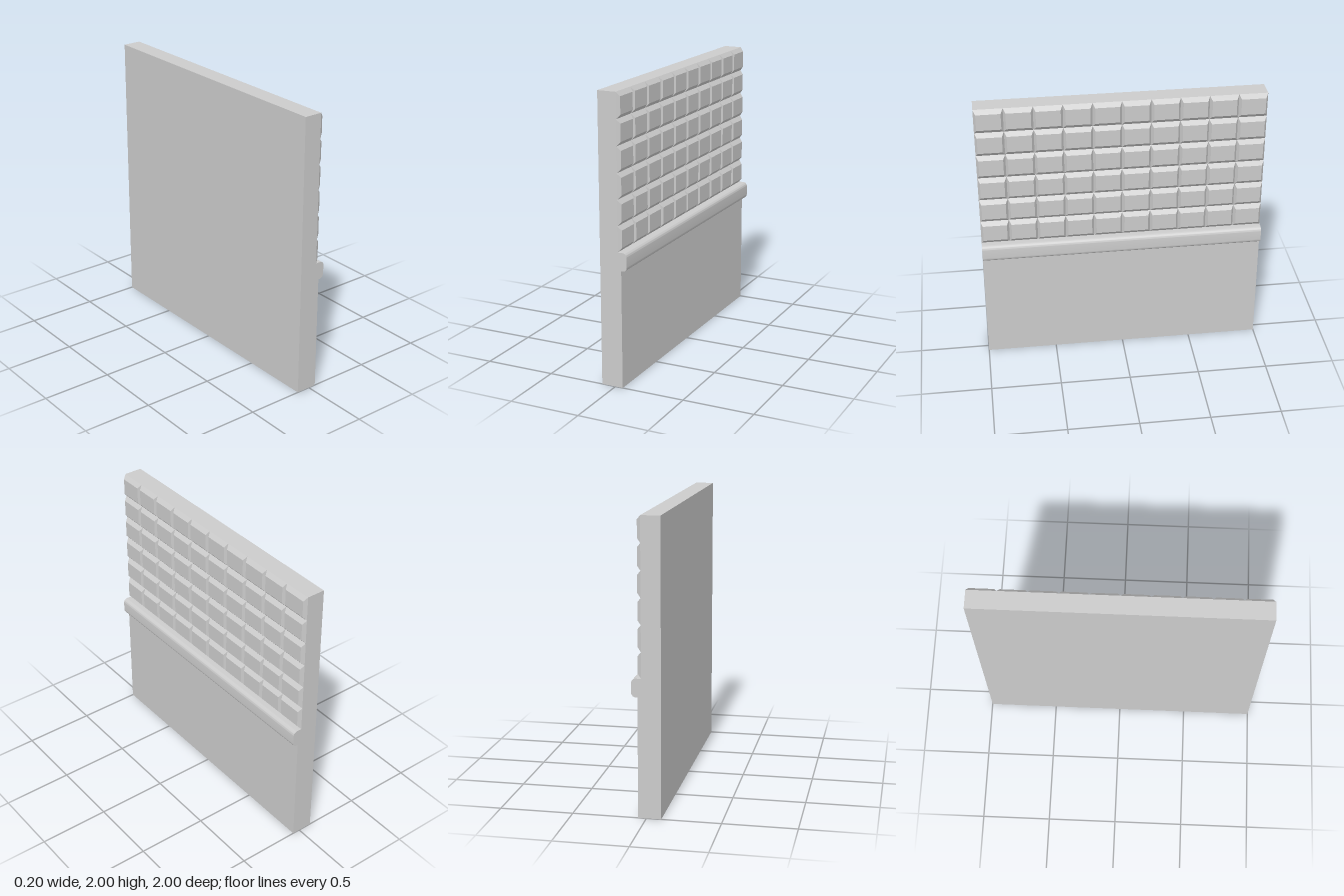
import * as THREE from 'three';
import { toCreasedNormals } from 'three/addons/utils/BufferGeometryUtils.js';

const LENGTH = 2;
const BACK = -0.1, GROOVE = 0.03, FACE = 0.055, RAIL_FACE = 0.096;
const RAIL_LOW = 0.82, RAIL_TOP = 0.945, TOP = 2;
const ROWS = 6, COLUMNS = 10;

const material = new THREE.MeshStandardMaterial({ color: 0xcccccc });

// Extrudes an x-y profile along the whole length of the wall
function extrudeAlongWall(shape, name) {
  const geometry = new THREE.ExtrudeGeometry(shape, { depth: LENGTH, bevelEnabled: false, curveSegments: 8 });
  geometry.translate(0, 0, -LENGTH / 2);
  const mesh = new THREE.Mesh(toCreasedNormals(geometry, 0.6), material);
  mesh.name = name;
  return mesh;
}

// Block whose outer (+x) face is drawn in to form four sloping sides
function tileGeometry(height, width, insetY, insetZ) {
  const depth = FACE - GROOVE;
  const geometry = new THREE.BoxGeometry(depth, height, width);
  const p = geometry.attributes.position;
  for (let i = 0; i < p.count; i++) {
    if (p.getX(i) < 0) continue;
    p.setY(i, p.getY(i) - Math.sign(p.getY(i)) * insetY);
    p.setZ(i, p.getZ(i) - Math.sign(p.getZ(i)) * insetZ);
  }
  geometry.computeVertexNormals();
  geometry.translate(depth / 2, 0, 0);
  return geometry;
}

export function createModel() {
  const model = new THREE.Group();
  model.name = 'panelledWall';

  // Wall: thicker below the rail, thinner behind the tiles
  const wall = new THREE.Shape([
    [BACK, 0], [FACE, 0], [FACE, 0.88], [GROOVE, 0.88], [GROOVE, TOP], [BACK, TOP],
  ].map(([x, y]) => new THREE.Vector2(x, y)));
  model.add(extrudeAlongWall(wall, 'wall'));

  // Rail with rounded outer edges
  const r = 0.03;
  const rail = new THREE.Shape();
  rail.moveTo(GROOVE, RAIL_LOW);
  rail.lineTo(RAIL_FACE - r, RAIL_LOW);
  rail.absarc(RAIL_FACE - r, RAIL_LOW + r, r, -Math.PI / 2, 0, false);
  rail.absarc(RAIL_FACE - r, RAIL_TOP - r, r, 0, Math.PI / 2, false);
  rail.lineTo(GROOVE, RAIL_TOP);
  rail.closePath();
  model.add(extrudeAlongWall(rail, 'rail'));

  // Grid of bevelled tiles above the rail
  const height = (TOP - RAIL_TOP) / ROWS;
  const width = LENGTH / COLUMNS;
  const tile = tileGeometry(height, width, 0.029, 0.016);
  const tiles = new THREE.Group();
  tiles.name = 'tiles';
  for (let row = 0; row < ROWS; row++) {
    for (let column = 0; column < COLUMNS; column++) {
      const mesh = new THREE.Mesh(tile, material);
      mesh.name = 'tile';
      mesh.position.set(GROOVE, RAIL_TOP + (row + 0.5) * height, -LENGTH / 2 + (column + 0.5) * width);
      tiles.add(mesh);
    }
  }
  model.add(tiles);

  return model;
}
